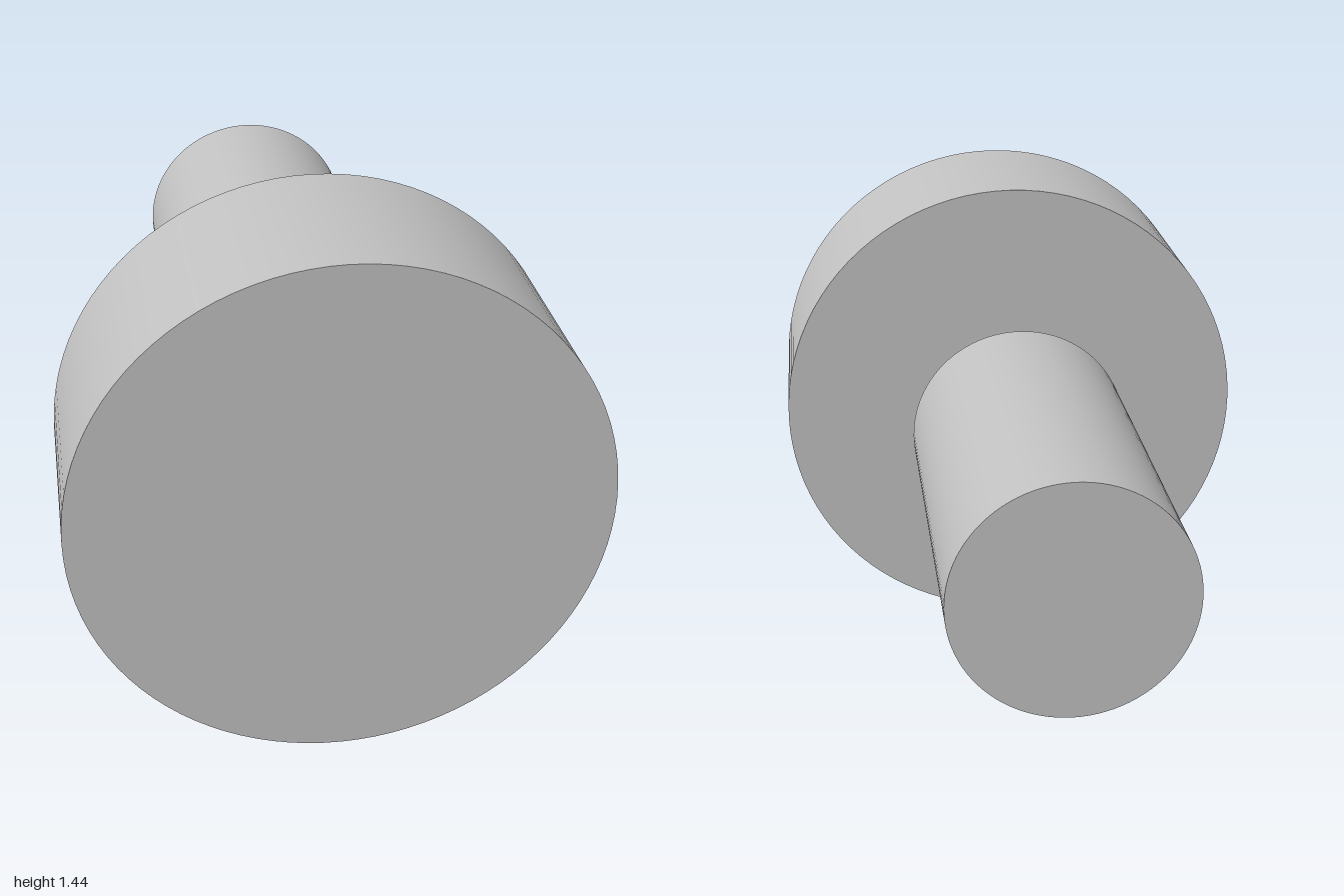
import * as THREE from 'three';

const AXIS_HEIGHT = 0.722;

export function createModel() {
  const model = new THREE.Group();
  model.name = 'knob';

  const grey = new THREE.MeshStandardMaterial({ color: 0xc0c0c0 });
  grey.name = 'grey';

  // Round section along z, from the back end to the front end
  function addSection(name, radius, back, front) {
    const geometry = new THREE.CylinderGeometry(radius, radius, front - back, 96);
    geometry.rotateX(Math.PI / 2);
    const mesh = new THREE.Mesh(geometry, grey);
    mesh.name = name;
    mesh.position.set(0, AXIS_HEIGHT, (back + front) / 2);
    model.add(mesh);
  }

  addSection('head', 0.722, 0.425, 1); // wide front disc
  addSection('neck', 0.088, 0.2, 0.425); // thin connecting pin
  addSection('shank', 0.333, -1, 0.2); // long rear cylinder

  return model;
}
